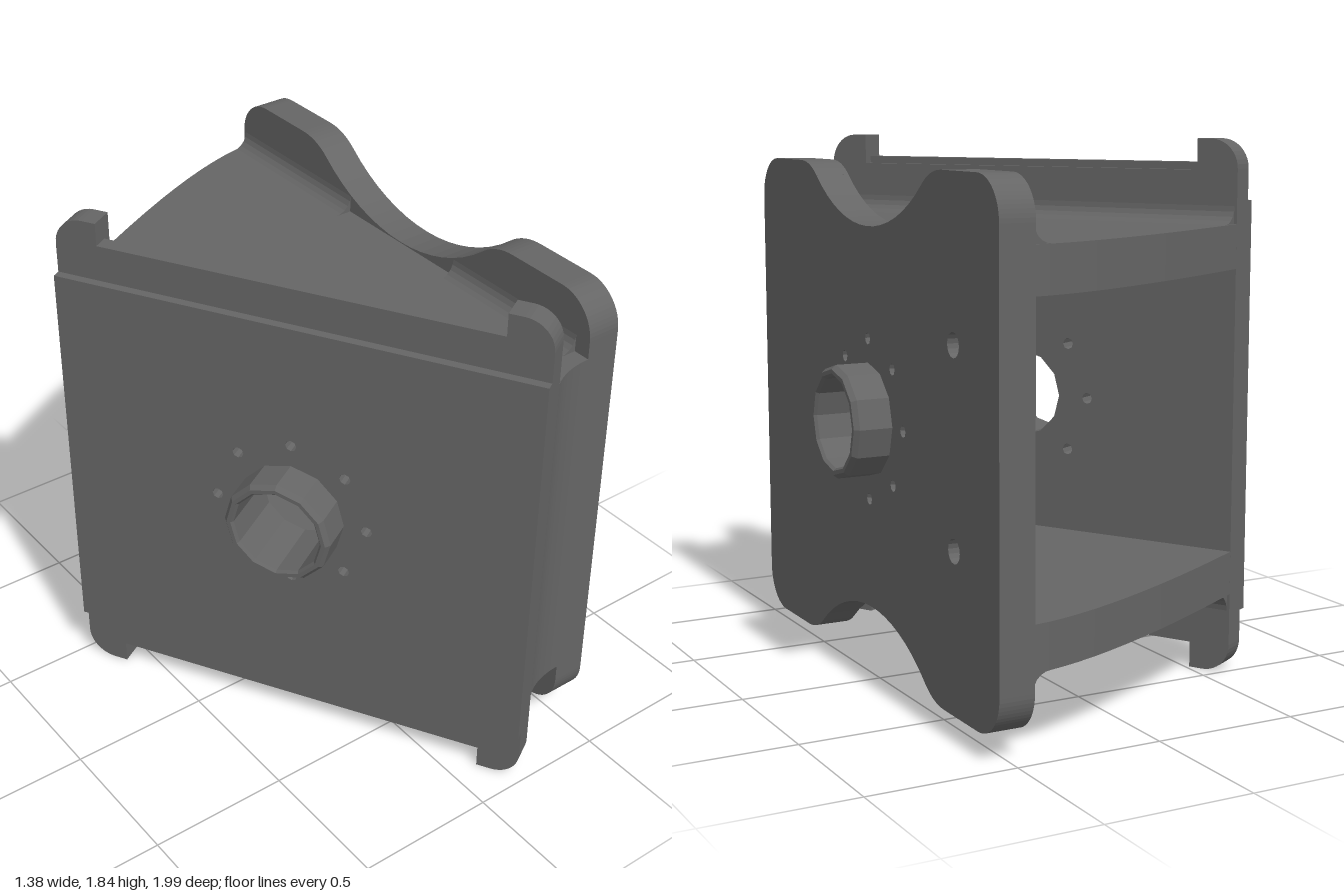
import * as THREE from 'three';

const MID = 0.92;      // mid height of the bracket
const DECK = 0.637;    // deck surface above / below mid height
const BORE = 0.155;
const material = new THREE.MeshStandardMaterial({ color: 0x656565, flatShading: true });

function add(parent, name, geometry) {
  const mesh = new THREE.Mesh(geometry, material);
  mesh.name = name;
  parent.add(mesh);
}

function slab(shape, depth, z) {
  return new THREE.ExtrudeGeometry(shape, { depth, bevelEnabled: false, curveSegments: 12 }).translate(0, 0, z);
}

// Counter-clockwise hole, opposite to the clockwise outlines
function circleHole(x, y, r, sides) {
  const pts = [];
  for (let i = 0; i < sides; i++) {
    const a = (i / sides) * Math.PI * 2;
    pts.push(new THREE.Vector2(x + r * Math.cos(a), y + r * Math.sin(a)));
  }
  return new THREE.Path(pts);
}

// Central bore and ring of eight small bolt holes
function addBoltPattern(shape) {
  shape.holes.push(circleHole(0, 0, BORE, 12));
  for (let i = 0; i < 8; i++) {
    const a = (i * Math.PI) / 4;
    shape.holes.push(circleHole(0.27 * Math.cos(a), 0.27 * Math.sin(a), 0.02, 8));
  }
}

// Closed clockwise outline: an upper half, turned half round for the lower half
function symmetricShape(upper) {
  const lower = upper.map((p) => new THREE.Vector2(-p.x, -p.y));
  return new THREE.Shape([...upper, ...lower]);
}

// Hollow round boss standing on a plate's outer face
function addBoss(parent) {
  const profile = [[BORE, -0.01], [0.19, -0.01], [0.19, 0.113], [0.177, 0.13], [BORE + 0.008, 0.13], [BORE, 0.12], [BORE, -0.01]];
  const geo = new THREE.LatheGeometry(profile.map(([r, y]) => new THREE.Vector2(r, y)), 12);
  add(parent, 'boss', geo.rotateX(Math.PI / 2));
}

// Concave fillets where a plate's inner face meets both decks
function addFillets(parent, innerZ, from, to) {
  const r = 0.06;
  for (const side of [1, -1]) {
    const pts = [new THREE.Vector2(-0.01, -0.01 * side)];
    for (let i = 0; i <= 5; i++) {
      const a = (i / 5) * Math.PI / 2;
      pts.push(new THREE.Vector2(r * (1 - Math.sin(a)), side * r * (1 - Math.cos(a))));
    }
    const geo = slab(new THREE.Shape(pts), to - from, 0);
    geo.rotateY(Math.PI / 2).translate(from, side * DECK, innerZ);
    add(parent, 'deckFillet', geo);
  }
}

// Upright plate with waisted top and bottom
function makeUprightPlate() {
  const group = new THREE.Group();
  group.name = 'uprightPlate';
  const top = new THREE.Path();
  top.moveTo(-0.93, 0.70);
  top.absarc(-0.79, 0.70, 0.14, Math.PI, Math.PI / 2, true);
  top.lineTo(-0.56, 0.84);
  top.quadraticCurveTo(-0.48, 0.84, -0.42, 0.791);
  const half = Math.asin(0.42 / 0.66);
  top.absarc(0, 1.30, 0.66, -Math.PI / 2 - half, -Math.PI / 2 + half, false);
  top.quadraticCurveTo(0.48, 0.84, 0.56, 0.84);
  top.lineTo(0.79, 0.84);
  top.absarc(0.79, 0.70, 0.14, Math.PI / 2, 0, true);
  const shape = symmetricShape(top.getPoints(8));
  addBoltPattern(shape);
  for (const y of [0.32, -0.315]) shape.holes.push(circleHole(0.633, y, 0.04, 16));
  add(group, 'plate', slab(shape, 0.12, -0.12));
  addBoss(group);
  addFillets(group, -0.12, -0.87, -0.28);
  addFillets(group, -0.12, 0.28, 0.92);
  group.rotation.y = Math.PI / 2;
  group.position.set(0.562, MID, -0.07);
  return group;
}

// Backing layer with four corner lugs; ledge is the half height between them
function lugShape(ledge) {
  const top = new THREE.Path();
  top.moveTo(-0.84, 0.82);
  top.absarc(-0.74, 0.82, 0.10, Math.PI, Math.PI / 2, true);
  top.lineTo(-0.69, 0.92);
  top.lineTo(-0.69, ledge);
  top.lineTo(0.69, ledge);
  top.lineTo(0.69, 0.92);
  top.lineTo(0.74, 0.92);
  top.absarc(0.74, 0.82, 0.10, Math.PI / 2, 0, true);
  const shape = symmetricShape(top.getPoints(5));
  addBoltPattern(shape);
  return shape;
}

// Slanted plate: stepped backing with lugs and a raised face panel
function makeSlantedPlate() {
  const group = new THREE.Group();
  group.name = 'slantedPlate';
  add(group, 'outerBacking', slab(lugShape(0.84), 0.055, -0.085));
  add(group, 'innerBacking', slab(lugShape(0.815), 0.031, -0.116));

  const panel = symmetricShape([new THREE.Vector2(-0.84, 0.713), new THREE.Vector2(0.84, 0.713)]);
  addBoltPattern(panel);
  add(group, 'facePanel', slab(panel, 0.03, -0.03));
  addBoss(group);
  addFillets(group, -0.116, -0.83, 0.83);
  group.rotation.y = -Math.PI / 3;
  group.position.set(-0.27, MID, 0.265);
  return group;
}

// Horizontal slab from a plan outline drawn in (x, -z)
function planSlab(shape, y0, y1) {
  return slab(shape, y1 - y0, 0).rotateX(-Math.PI / 2).translate(0, y0, 0);
}

export function createModel() {
  const model = new THREE.Group();
  model.name = 'angleBracket';
  model.add(makeUprightPlate(), makeSlantedPlate());

  // Wedge-shaped decks with a bowed rear edge
  const deck = new THREE.Shape();
  deck.moveTo(-0.59, 0.52);
  deck.lineTo(0.25, -0.93);
  deck.quadraticCurveTo(0.33, -0.86, 0.445, -0.86);
  deck.lineTo(0.445, 1.0);
  deck.quadraticCurveTo(0.15, 0.97, -0.59, 0.52);
  const thick = 0.15;
  add(model, 'upperDeck', planSlab(deck, MID + DECK - thick, MID + DECK));
  add(model, 'lowerDeck', planSlab(deck, MID - DECK, MID - DECK + thick));

  // Wall closing the narrow front end
  const wall = new THREE.Shape();
  wall.moveTo(0.149, -0.76);
  wall.lineTo(0.25, -0.93);
  wall.quadraticCurveTo(0.33, -0.86, 0.445, -0.86);
  wall.lineTo(0.445, -0.76);
  add(model, 'frontWall', planSlab(wall, MID - DECK + thick, MID + DECK - thick));
  return model;
}
